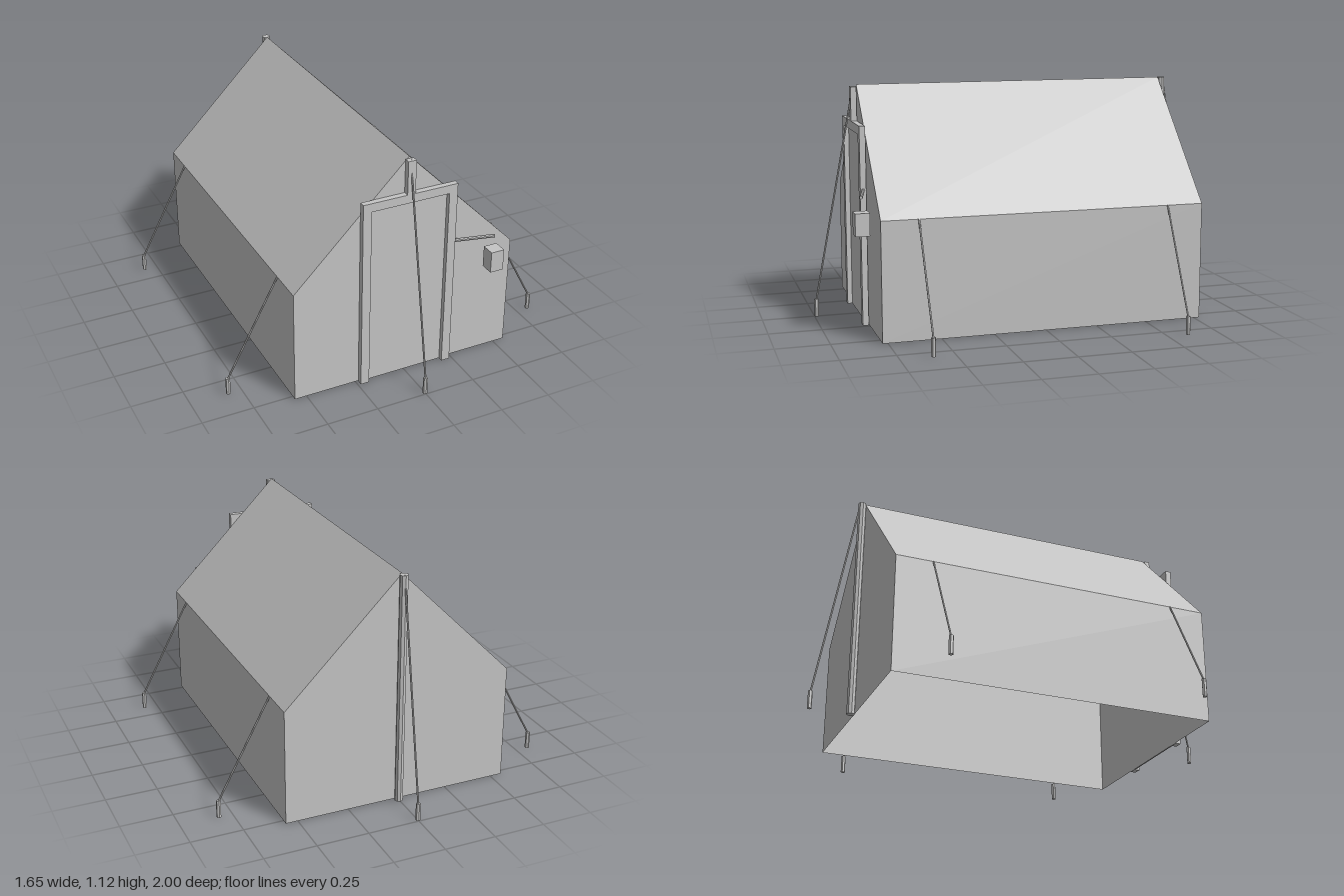
import * as THREE from 'three';

export function createModel() {
  const model = new THREE.Group();
  const grey = new THREE.MeshStandardMaterial({ color: 0xc4c4c4 });
  grey.name = 'plainGrey';
  grey.flatShading = true;
  const canvas = grey.clone();
  canvas.name = 'canvasGrey';
  canvas.side = THREE.DoubleSide;

  const add = (name, geometry, material = grey, x = 0, y = 0, z = 0) => {
    const mesh = new THREE.Mesh(geometry, material);
    mesh.name = name;
    mesh.position.set(x, y, z);
    model.add(mesh);
    return mesh;
  };

  // Straight round bar between two points
  const bar = (name, from, to, radius, sides) => {
    const a = new THREE.Vector3(...from), b = new THREE.Vector3(...to);
    const dir = b.clone().sub(a);
    const mesh = add(name, new THREE.CylinderGeometry(radius, radius, dir.length(), sides));
    mesh.position.copy(a).add(b).multiplyScalar(0.5);
    mesh.quaternion.setFromUnitVectors(new THREE.Vector3(0, 1, 0), dir.normalize());
  };

  // Canvas shell, open at the bottom
  const W = 0.558, EAVE = 0.56, RIDGE = 1.12, FRONT = 0.774, BACK = -0.778;
  const profile = [[W, 0], [W, EAVE], [0, RIDGE], [-W, EAVE], [-W, 0]];
  const names = ['leftWall', 'leftRoof', 'rightRoof', 'rightWall'];
  names.forEach((name, i) => {
    const [ax, ay] = profile[i], [bx, by] = profile[i + 1];
    const g = new THREE.BufferGeometry();
    g.setAttribute('position', new THREE.Float32BufferAttribute(
      [ax, ay, FRONT, ax, ay, BACK, bx, by, BACK, bx, by, FRONT], 3));
    g.setIndex([0, 1, 2, 0, 2, 3]);
    g.computeVertexNormals();
    add(name, g, canvas);
  });
  const gable = new THREE.ShapeGeometry(new THREE.Shape(profile.map(p => new THREE.Vector2(...p))));
  add('frontGable', gable, canvas, 0, 0, FRONT);
  add('backGable', gable.clone().rotateY(Math.PI), canvas, 0, 0, BACK);

  // Door panel and its frame with the short king post above
  add('doorPanel', new THREE.BoxGeometry(0.39, 0.905, 0.007), grey, 0, 0.4525, 0.778);
  const half = [[0.02, 1.11], [0.02, 0.947], [0.236, 0.947], [0.236, 0], [0.194, 0], [0.194, 0.905]];
  const outline = [...half, ...half.map(([x, y]) => [-x, y]).reverse()];
  const frame = new THREE.Shape(outline.map(p => new THREE.Vector2(...p)));
  add('doorFrame', new THREE.ExtrudeGeometry(frame, { depth: 0.028, bevelEnabled: false }), grey, 0, 0, 0.777);

  // Lantern arm and lantern
  bar('lanternArm', [0.22, 0.647, 0.788], [0.427, 0.647, 0.836], 0.008, 8);
  add('lantern', new THREE.BoxGeometry(0.067, 0.105, 0.067), grey, 0.428, 0.528, 0.837);

  // Rear pole
  add('rearPole', new THREE.CylinderGeometry(0.02, 0.02, RIDGE, 8), grey, 0, RIDGE / 2, -0.795);

  // Guy ropes with pegs
  const guys = [
    [[0, 1.11, 0.79], [0, 0.08, 0.989]],
    [[0, 1.12, -0.803], [0, 0.08, -0.989]],
  ];
  for (const x of [-1, 1]) for (const z of [-0.602, 0.6])
    guys.push([[x * W, EAVE, z], [x * 0.815, 0.08, z]]);
  for (const [top, peg] of guys) {
    bar('guyRope', top, peg, 0.0045, 6);
    add('peg', new THREE.CylinderGeometry(0.011, 0.011, 0.086, 6), grey, peg[0], 0.043, peg[2]);
  }
  return model;
}
